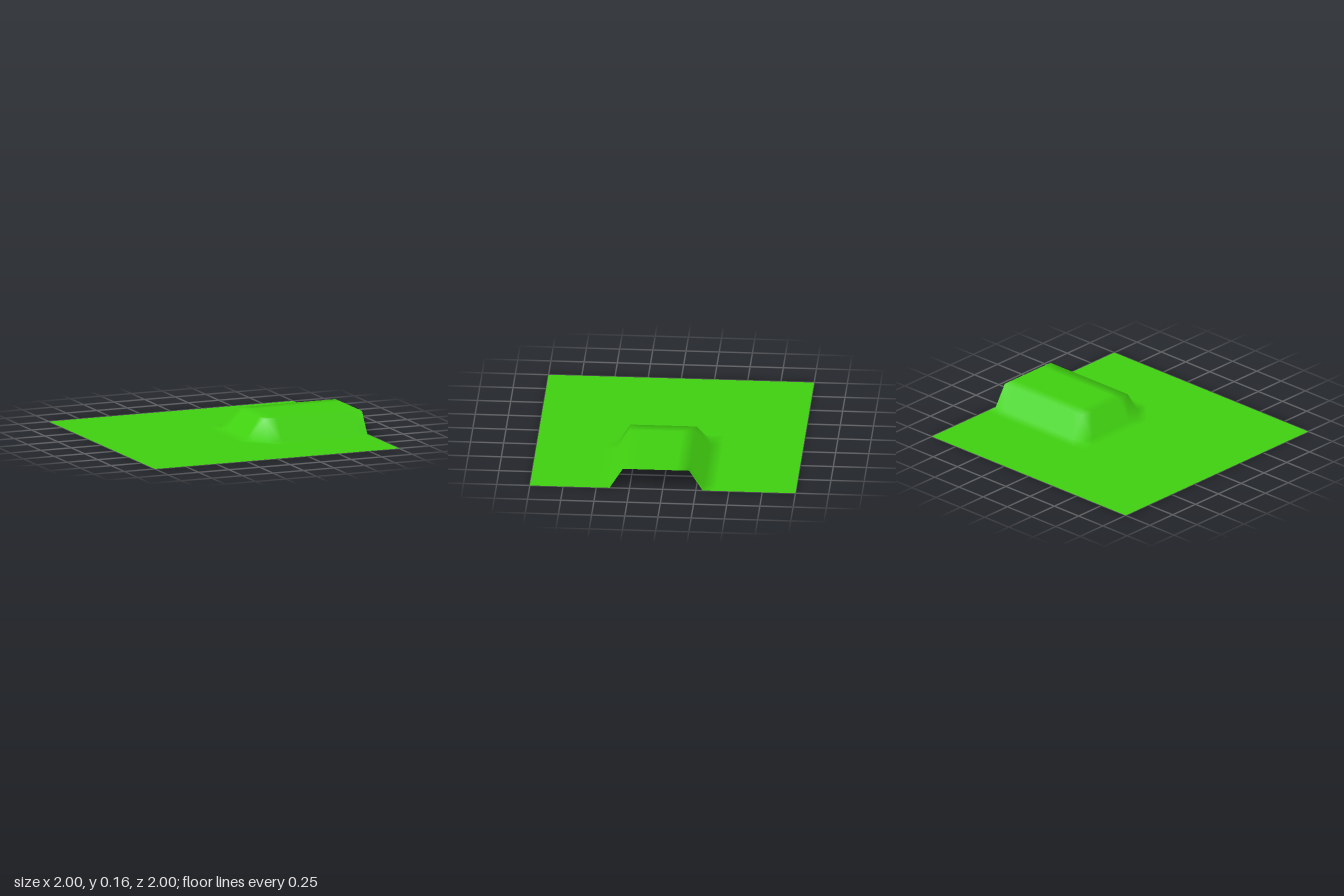
import * as THREE from 'three';

const SIZE = 2;
const CELLS = 20;
const RIDGE_HEIGHT = 0.16;

// Grid points on the plateau; the cells around it become the slopes
const onRidge = (x, z) => x > 0.15 && z > -0.25 && z < 0.35;

export function createModel() {
  const group = new THREE.Group();
  group.name = 'terrainTile';

  // Flat grid; the quarter turn sets which way the cell diagonals run
  const geometry = new THREE.PlaneGeometry(SIZE, SIZE, CELLS, CELLS);
  geometry.rotateX(-Math.PI / 2).rotateY(Math.PI / 2);

  // Raise the ridge that runs out to the tile's left edge
  const position = geometry.attributes.position;
  for (let i = 0; i < position.count; i++) {
    const raised = onRidge(position.getX(i), position.getZ(i));
    position.setY(i, raised ? RIDGE_HEIGHT : 0);
  }
  geometry.computeVertexNormals();

  const grass = new THREE.MeshStandardMaterial({ color: 0x40d010, side: THREE.DoubleSide });
  const ground = new THREE.Mesh(geometry, grass);
  ground.name = 'grassGround';
  group.add(ground);
  return group;
}
